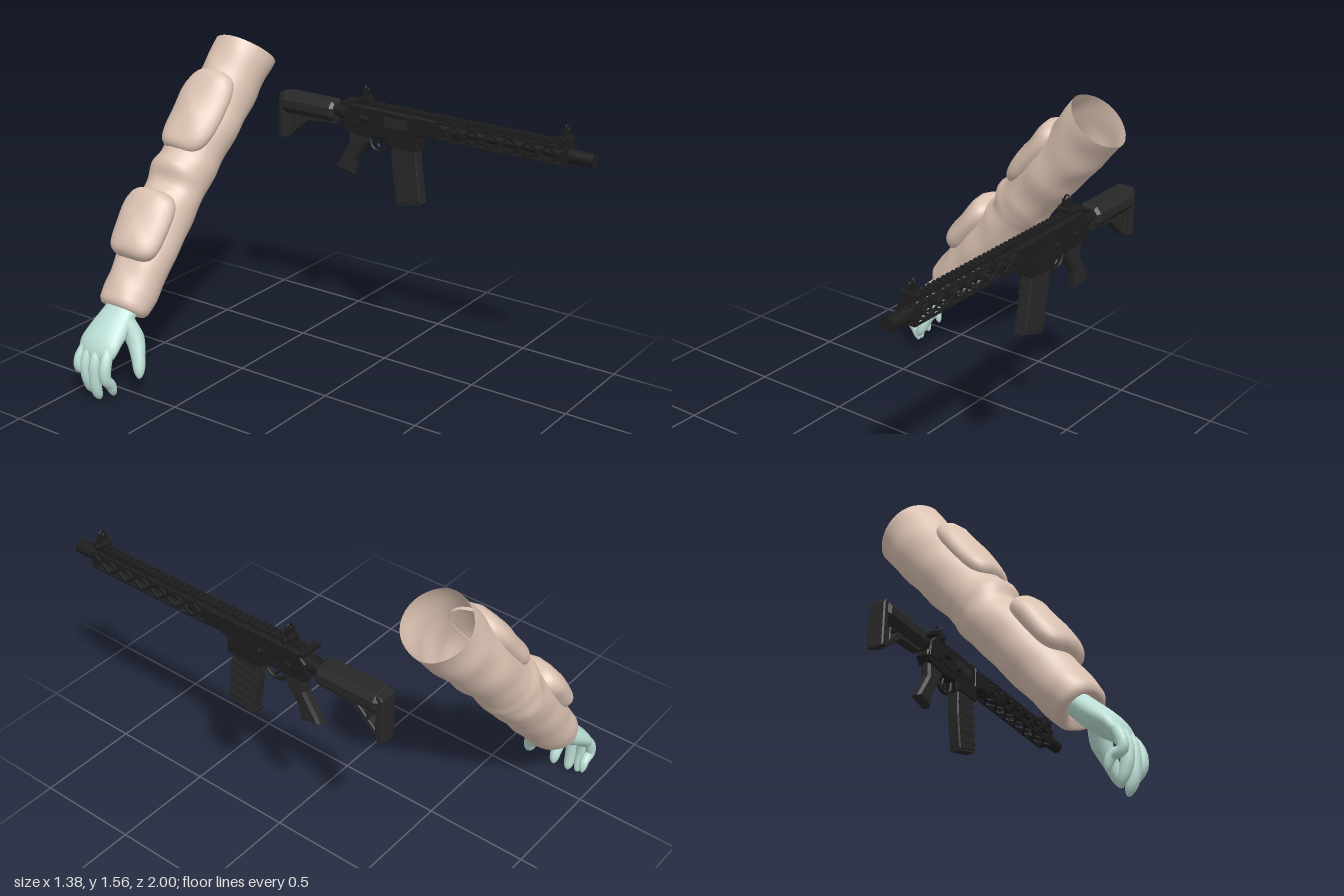
import * as THREE from 'three';

const mat = (name, color, side = THREE.FrontSide) => {
  const m = new THREE.MeshStandardMaterial({ color, side });
  m.name = name;
  return m;
};
const V = (x, y, z) => new THREE.Vector3(x, y, z);

// Skin a list of closed rings of points; optionally close the last ring.
function loft(rings, capEnd = true) {
  const n = rings[0].length, pos = [], idx = [];
  rings.forEach(r => r.forEach(p => pos.push(p.x, p.y, p.z)));
  for (let i = 0; i < rings.length - 1; i++)
    for (let j = 0; j < n; j++) {
      const a = i * n + j, b = i * n + (j + 1) % n;
      idx.push(a, b, a + n, b, b + n, a + n);
    }
  if (capEnd) {
    const base = (rings.length - 1) * n;
    for (let j = 1; j < n - 1; j++) idx.push(base, base + j, base + j + 1);
  }
  const g = new THREE.BufferGeometry();
  g.setAttribute('position', new THREE.Float32BufferAttribute(pos, 3));
  g.setIndex(idx);
  g.computeVertexNormals();
  return g;
}

// Tapered limb along a curve with a rounded tip; radii are [in-plane, across] pairs.
function limb(points, radii, tip = 0.2, steps = 18, sides = 14) {
  const curve = new THREE.CatmullRomCurve3(points.map(p => V(...p)));
  const rings = [];
  for (let i = 0; i <= steps; i++) {
    const s = Math.sin((i / steps) * Math.PI / 2), c = curve.getPoint(s), T = curve.getTangent(s);
    const U = V(0, 0, 1).cross(T).normalize(), W = T.clone().cross(U);
    const f = s * (radii.length - 1), k = Math.min(Math.floor(f), radii.length - 2), e = f - k;
    const end = Math.sqrt(Math.max(0.001, 1 - Math.max(0, (s - 1 + tip) / tip) ** 2));
    const [ru, rv] = [0, 1].map(q => (radii[k][q] * (1 - e) + radii[k + 1][q] * e) * end);
    rings.push(Array.from({ length: sides }, (_, j) => {
      const a = j / sides * Math.PI * 2;
      return c.clone().addScaledVector(U, Math.cos(a) * ru).addScaledVector(W, Math.sin(a) * rv);
    }));
  }
  return loft(rings);
}

// Sleeve sections: distance along arm, lower edge, upper edge, z centre, z radius.
const SLEEVE = [
  [-0.01, -0.09, 0.095, -0.84, 0.115], [0.02, -0.108, 0.112, -0.84, 0.128], [0.1, -0.115, 0.12, -0.84, 0.134],
  [0.25, -0.12, 0.125, -0.84, 0.14], [0.55, -0.13, 0.135, -0.843, 0.148], [0.62, -0.133, 0.118, -0.845, 0.15],
  [0.7, -0.138, 0.155, -0.835, 0.148], [0.77, -0.128, 0.14, -0.825, 0.147], [1, -0.14, 0.14, -0.81, 0.155],
  [1.2, -0.152, 0.15, -0.795, 0.15], [1.38, -0.151, 0.152, -0.777, 0.15]];
function sleevePoint(t, a, h = 0, shrink = 1) {
  let k = 0;
  while (k < SLEEVE.length - 2 && t > SLEEVE[k + 1][0]) k++;
  let e = (t - SLEEVE[k][0]) / (SLEEVE[k + 1][0] - SLEEVE[k][0]);
  e = e * e * (3 - 2 * e);
  const [, lo, hi, zc, rz] = SLEEVE[k].map((v, q) => v * (1 - e) + SLEEVE[k + 1][q] * e);
  const fold = 0.004 * Math.sin(t * 24 + 3 * Math.sin(a)) * Math.sin(2 * a + t * 5);
  const n = (lo + hi) / 2 + Math.cos(a) * ((hi - lo) / 2 * shrink + h + fold);
  return V(-0.45 + 0.632 * t - 0.775 * n, 0.4 + 0.775 * t + 0.632 * n, zc + Math.sin(a) * (rz * shrink + h + fold));
}

// Rounded-rectangle pad that hugs the sleeve.
function padGeometry(tMid, tHalf, angleHalf, thick) {
  const rings = [], pw = c => Math.sign(c) * Math.abs(c) ** 0.5;
  for (const rho of [1, 0.995, 0.97, 0.92, 0.85, 0.75, 0.6, 0.4, 0.2, 0.01]) {
    const h = -0.012 + (thick + 0.012) * Math.sqrt(1 - rho ** 7);
    rings.push(Array.from({ length: 40 }, (_, j) => {
      const p = j / 40 * Math.PI * 2;
      return sleevePoint(tMid + rho * tHalf * pw(Math.sin(p)), rho * angleHalf * pw(Math.cos(p)), h);
    }));
  }
  return loft(rings);
}

const shapeOf = pts => new THREE.Shape(pts.map(p => new THREE.Vector2(...p)));
// Side profile in (z, y), extruded across x and centred.
function profile(pts, width, holes = [], bevel = 0) {
  const s = shapeOf(pts);
  holes.forEach(h => s.holes.push(new THREE.Path(h.map(p => new THREE.Vector2(...p)))));
  const g = new THREE.ExtrudeGeometry(s, { depth: width - 2 * bevel, bevelEnabled: bevel > 0,
    bevelSize: bevel, bevelOffset: -bevel, bevelThickness: bevel, bevelSegments: 1, curveSegments: 8 });
  return g.translate(0, 0, bevel - width / 2).rotateY(-Math.PI / 2);
}

// Cross-braced handguard panel, lying along z and centred on y = 0.
function latticePanel(z0, z1, h, cells) {
  const holes = [], c = (z1 - z0) / cells, m = h / 2 - 0.008;
  for (let i = 0; i < cells; i++) {
    const z = z0 + c * (i + 0.5);
    for (const s of [1, -1])
      holes.push([[z - c * 0.37, s * m], [z + c * 0.37, s * m], [z, s * 0.008]]);
    if (i) holes.push([[z - c * 0.9, 0], [z - c / 2, m * 0.8], [z - c * 0.1, 0], [z - c / 2, -m * 0.8]]);
  }
  return profile([[z0, -h / 2], [z1, -h / 2], [z1, h / 2], [z0, h / 2]], 0.007, holes);
}

export function createModel() {
  const root = new THREE.Group();
  const cloth = mat('sleeve tan', 0xdcc3b3, THREE.DoubleSide), skin = mat('glove mint', 0xbbded5);
  const metal = mat('dark metal', 0x1d1d1e), polymer = mat('black polymer', 0x272728);
  const add = (parent, name, geo, material, x = 0, y = 0, z = 0) => {
    const m = new THREE.Mesh(geo, material);
    m.name = name;
    m.position.set(x, y, z);
    parent.add(m);
    return m;
  };

  // Arm: sleeve with folded-in cuff and open shoulder, plus two pads
  const arm = new THREE.Group();
  arm.name = 'arm';
  root.add(arm);
  const ring = (t, shrink) => Array.from({ length: 36 }, (_, j) => sleevePoint(t, j / 36 * Math.PI * 2, 0, shrink));
  const rings = [ring(0.03, 0.4), ring(-0.008, 0.85)];
  for (let i = 0; i <= 70; i++) rings.push(ring(-0.005 + 1.385 * i / 70, 1));
  add(arm, 'sleeve', loft(rings, false), cloth);
  add(arm, 'forearmPad', padGeometry(0.39, 0.175, 1.0, 0.062), cloth);
  add(arm, 'upperArmPad', padGeometry(0.99, 0.21, 1.0, 0.042), cloth);

  // Hand: palm, four curled fingers and a thumb
  const hand = new THREE.Group();
  hand.name = 'hand';
  arm.add(hand);
  const palm = limb([[-0.42, 0.44, -0.845], [-0.48, 0.382, -0.845], [-0.545, 0.325, -0.85], [-0.605, 0.275, -0.853],
    [-0.65, 0.2, -0.855]], [[0.052, 0.08], [0.055, 0.092], [0.056, 0.108], [0.046, 0.115], [0.03, 0.1]], 0.15, 20, 20);
  add(hand, 'palm', palm, skin);
  [[-0.775, -0.61, 0.035, 0.027], [-0.838, -0.64, 0.01, 0.028], [-0.893, -0.635, 0.03, 0.026], [-0.938, -0.6, 0.075, 0.023]]
    .forEach(([z, x, y, r], i) => add(hand, 'finger' + (i + 1), limb([[-0.61, 0.275, z * 0.8 - 0.17], [-0.654, 0.215, z],
      [-0.664, 0.13 + y / 3, z], [x - 0.02, y + 0.06, z], [x, y, z]], [[r, r], [r * 1.1, r * 1.05], [r, r], [r * 0.75, r * 0.85]]), skin));
  add(hand, 'thumb', limb([[-0.49, 0.36, -0.79], [-0.485, 0.29, -0.745], [-0.51, 0.21, -0.705], [-0.54, 0.12, -0.675]],
    [[0.04, 0.05], [0.043, 0.048], [0.032, 0.034], [0.024, 0.025]]), skin);

  // Rifle prop, built around x = 0 then shifted sideways
  const rifle = new THREE.Group();
  rifle.name = 'rifle';
  rifle.position.x = 0.632;
  root.add(rifle);
  const box = (name, w, h, d, x, y, z, m = metal) => add(rifle, name, new THREE.BoxGeometry(w, h, d), m, x, y, z);
  const rod = (name, r, len, x, y, z, m = metal, n = 20) =>
    add(rifle, name, new THREE.CylinderGeometry(r, r, len, n).rotateX(Math.PI / 2), m, x, y, z);
  const pin = (name, r, len, x, y, z) =>
    add(rifle, name, new THREE.CylinderGeometry(r, r, len, 14).rotateZ(Math.PI / 2), metal, x, y, z);
  const side = (name, pts, w, m = metal, holes = [], bevel = 0.006) =>
    add(rifle, name, profile(pts, w, holes, bevel), m);

  // Barrel, muzzle and handguard
  rod('barrel', 0.019, 0.85, 0, 1.197, 0.48);
  rod('muzzle', 0.032, 0.115, 0, 1.197, 0.9425);
  rod('muzzleCollar', 0.036, 0.02, 0, 1.197, 0.89);
  for (const s of [-1, 1]) {
    add(rifle, 'handguardSide', latticePanel(0.2, 0.885, 0.085, 7), metal, s * 0.037, 1.197, 0);
    add(rifle, 'handguardFlat', latticePanel(0.2, 0.885, 0.08, 7).rotateZ(Math.PI / 2), metal, 0, 1.197 + s * 0.04, 0);
  }
  side('handguardRear', [[0.21, 1.155], [0.21, 1.24], [0.08, 1.245], [0.08, 1.14], [0.15, 1.155]], 0.082);
  rod('barrelNut', 0.034, 0.12, 0, 1.197, 0.27);

  // Top rail with teeth
  box('railBase', 0.034, 0.014, 1.18, 0, 1.245, 0.295);
  for (let z = 0.875; z > -0.29; z -= 0.03) box('railTooth', 0.045, 0.012, 0.017, 0, 1.256, z);

  // Receivers
  side('upperReceiver', [[0.11, 1.24], [0.11, 1.13], [-0.32, 1.13], [-0.32, 1.2], [-0.28, 1.245]], 0.074);
  side('lowerReceiver', [[0.1, 1.155], [0.1, 1.08], [-0.065, 1.06], [-0.08, 1.1], [-0.19, 1.09], [-0.3, 1.1],
    [-0.335, 1.13], [-0.33, 1.16]], 0.066);
  box('magazineWell', 0.08, 0.07, 0.155, 0, 1.105, 0.02);
  box('ejectionPort', 0.008, 0.045, 0.13, -0.038, 1.19, -0.02, polymer);
  rod('forwardAssist', 0.016, 0.05, -0.04, 1.185, -0.19);
  box('boltCatch', 0.016, 0.05, 0.022, 0.038, 1.145, -0.09);
  box('chargingHandle', 0.11, 0.018, 0.03, -0.008, 1.245, -0.305);
  for (const [y, z] of [[1.12, 0.085], [1.115, -0.29], [1.13, -0.21], [1.12, -0.15]]) pin('receiverPin', 0.01, 0.078, 0, y, z);
  pin('selector', 0.014, 0.1, 0, 1.16, -0.23);
  pin('magazineRelease', 0.013, 0.115, 0, 1.16, -0.08);

  // Magazine with ribs
  side('magazine', [[0.085, 1.1], [0.095, 1.0], [0.12, 0.82], [-0.015, 0.782], [-0.045, 0.95], [-0.055, 1.1]], 0.058, polymer);
  for (let i = 0; i < 5; i++) {
    const rib = box('magazineRib', 0.066, 0.012, 0.135, 0, 1.02 - i * 0.045, 0.021 + i * 0.007, polymer);
    rib.rotation.x = -0.16;
  }
  box('magazineFloor', 0.05, 0.022, 0.145, 0, 0.803, 0.051, polymer).rotation.x = -0.27;

  // Trigger, guard and grip
  const guard = new THREE.CatmullRomCurve3([V(0, 1.1, -0.075), V(0, 1.05, -0.085), V(0, 1.025, -0.125),
    V(0, 1.035, -0.17), V(0, 1.09, -0.195)]);
  add(rifle, 'triggerGuard', new THREE.TubeGeometry(guard, 20, 0.008, 8), metal);
  add(rifle, 'trigger', new THREE.TubeGeometry(new THREE.QuadraticBezierCurve3(V(0, 1.1, -0.14), V(0, 1.06, -0.16),
    V(0, 1.045, -0.13)), 8, 0.006, 6), metal);
  side('grip', [[-0.18, 1.1], [-0.195, 1.06], [-0.22, 1.02], [-0.26, 0.96], [-0.275, 0.88], [-0.38, 0.905],
    [-0.335, 0.98], [-0.3, 1.04], [-0.305, 1.11]], 0.052, polymer, [], 0.012);

  // Stock: tube, wide cheek body, open lower frame and butt pad
  rod('bufferTube', 0.032, 0.2, 0, 1.19, -0.39);
  rod('castleNut', 0.038, 0.025, 0, 1.19, -0.335);
  const half = [[0.035, 1.235], [0.058, 1.205], [0.058, 1.165], [0.035, 1.135]];
  const body = new THREE.ExtrudeGeometry(shapeOf([...half.map(([x, y]) => [-x, y]), ...half.reverse()]),
    { depth: 0.28, bevelSize: 0.012, bevelOffset: -0.012, bevelThickness: 0.015, bevelSegments: 1 });
  add(rifle, 'stockBody', body, polymer, 0, 0, -0.675);
  side('stockFrame', [[-0.37, 1.18], [-0.38, 1.12], [-0.54, 1.11], [-0.67, 1.0], [-0.71, 0.995], [-0.71, 1.2]], 0.045, polymer,
    [[[-0.575, 1.125], [-0.615, 1.125], [-0.615, 1.085]], [[-0.63, 1.125], [-0.668, 1.125], [-0.668, 1.035], [-0.63, 1.07]]], 0.004);
  side('buttPad', [[-0.675, 1.232], [-0.675, 1.005], [-0.695, 0.995], [-0.712, 1.0], [-0.712, 1.215], [-0.7, 1.232]], 0.085, polymer);

  // Folding sights
  for (const [name, z] of [['frontSight', 0.855], ['rearSight', -0.21]]) {
    box(name + 'Base', 0.055, 0.025, 0.055, 0, 1.268, z);
    for (const s of [-1, 1]) box(name + 'Ear', 0.008, 0.045, 0.02, s * 0.018, 1.295, z);
    box(name + 'Post', 0.007, 0.05, 0.01, 0, 1.29, z);
    add(rifle, name + 'Ring', new THREE.TorusGeometry(0.014, 0.004, 8, 18), metal, 0, 1.323, z);
    pin(name + 'Knob', 0.012, 0.085, 0, 1.27, z);
  }
  return root;
}
